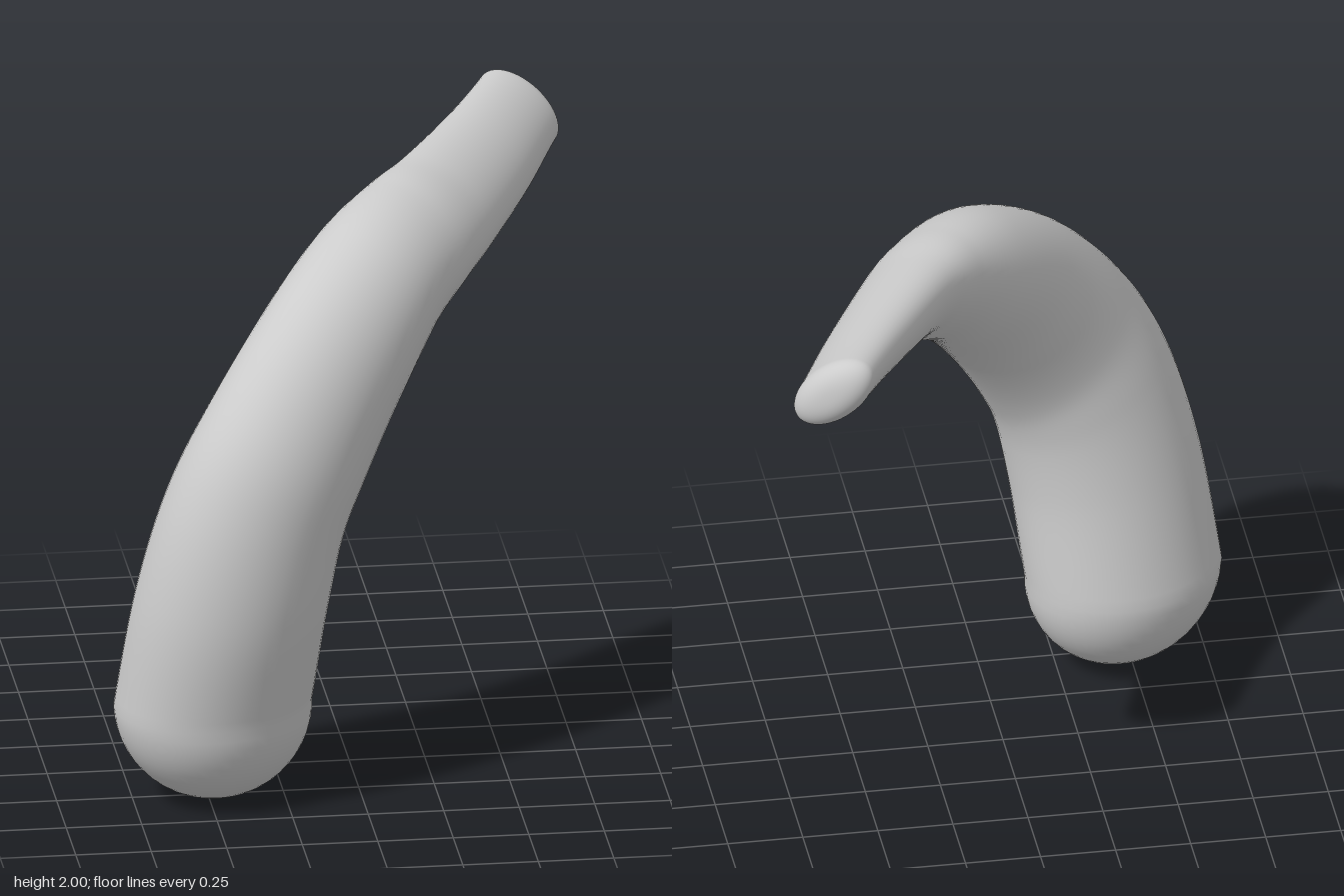
import * as THREE from 'three';
import { mergeVertices } from 'three/addons/utils/BufferGeometryUtils.js';

// Stations along the limb: centre x, y, z, then wide and narrow radius
const STATIONS = [
  [-0.483, 0.33, 0.5, 0.342, 0.3],
  [-0.43, 0.7, 0.56, 0.332, 0.295],
  [-0.355, 1.0, 0.57, 0.32, 0.275],
  [-0.25, 1.22, 0.53, 0.31, 0.255],
  [-0.085, 1.47, 0.4, 0.285, 0.235],
  [0.09, 1.665, 0.215, 0.25, 0.215],
  [0.245, 1.755, 0.035, 0.225, 0.17],
  [0.36, 1.79, -0.13, 0.205, 0.135],
  [0.54, 1.83, -0.46, 0.18, 0.11],
  [0.69, 1.873, -0.77, 0.16, 0.092],
];
const SIDES = 48, STEPS = 90, CAP = 14;

function limbGeometry() {
  const path = new THREE.CatmullRomCurve3(
    STATIONS.map(s => new THREE.Vector3(s[0], s[1], s[2])), false, 'catmullrom', 0.5);
  const radii = new THREE.SplineCurve(STATIONS.map(s => new THREE.Vector2(s[3], s[4])));
  const up = new THREE.Vector3(0, 1, 0);
  const lowerAxis = new THREE.Vector3(0.85, -0.45, -0.5);
  const upperAxis = new THREE.Vector3(0.67, -0.67, 0.31);
  const positions = [], indices = [];

  // One elliptical ring, level at the foot and rolling toward the tip
  function addRing(t, scale, shift) {
    const centre = path.getPoint(t).add(shift);
    const tangent = path.getTangent(t).lerp(up, Math.max(0, 1 - t / 0.2)).normalize();
    const r = radii.getPoint(t);
    const wide = lowerAxis.clone().lerp(upperAxis, THREE.MathUtils.smoothstep(t, 0.4, 0.8));
    wide.addScaledVector(tangent, -wide.dot(tangent)).normalize();
    const narrow = new THREE.Vector3().crossVectors(tangent, wide);
    for (let j = 0; j < SIDES; j++) {
      const a = (j / SIDES) * Math.PI * 2;
      const p = centre.clone()
        .addScaledVector(wide, Math.cos(a) * r.x * scale)
        .addScaledVector(narrow, Math.sin(a) * r.y * scale);
      positions.push(p.x, p.y, p.z);
    }
  }

  // Rounded foot, sweep, then the short blunt tip
  const down = new THREE.Vector3(0.015, -0.33, -0.01);
  const out = path.getTangent(1).multiplyScalar(0.07);
  for (let i = 0; i < CAP; i++) {
    const a = (i / CAP) * Math.PI / 2;
    addRing(0, Math.sin(a), down.clone().multiplyScalar(Math.cos(a)));
  }
  for (let i = 0; i <= STEPS; i++) addRing(i / STEPS, 1, new THREE.Vector3());
  for (let i = 1; i <= CAP; i++) {
    const a = (i / CAP) * Math.PI / 2;
    addRing(1, i === CAP ? 0 : Math.pow(Math.cos(a), 0.8), out.clone().multiplyScalar(Math.sin(a)));
  }

  const rings = positions.length / 3 / SIDES;
  for (let i = 0; i < rings - 1; i++) {
    for (let j = 0; j < SIDES; j++) {
      const k = (j + 1) % SIDES;
      const a = i * SIDES + j, b = i * SIDES + k;
      const c = a + SIDES, d = b + SIDES;
      if (i > 0) indices.push(a, b, c);
      if (i < rings - 2) indices.push(b, d, c);
    }
  }
  const geometry = new THREE.BufferGeometry();
  geometry.setAttribute('position', new THREE.Float32BufferAttribute(positions, 3));
  geometry.setIndex(indices);
  const merged = mergeVertices(geometry, 1e-5);
  merged.computeVertexNormals();
  return merged;
}

export function createModel() {
  const group = new THREE.Group();
  group.name = 'curvedLimb';
  const limb = new THREE.Mesh(limbGeometry(), new THREE.MeshStandardMaterial({ color: 0xcccccc }));
  limb.name = 'limb';
  group.add(limb);
  return group;
}
